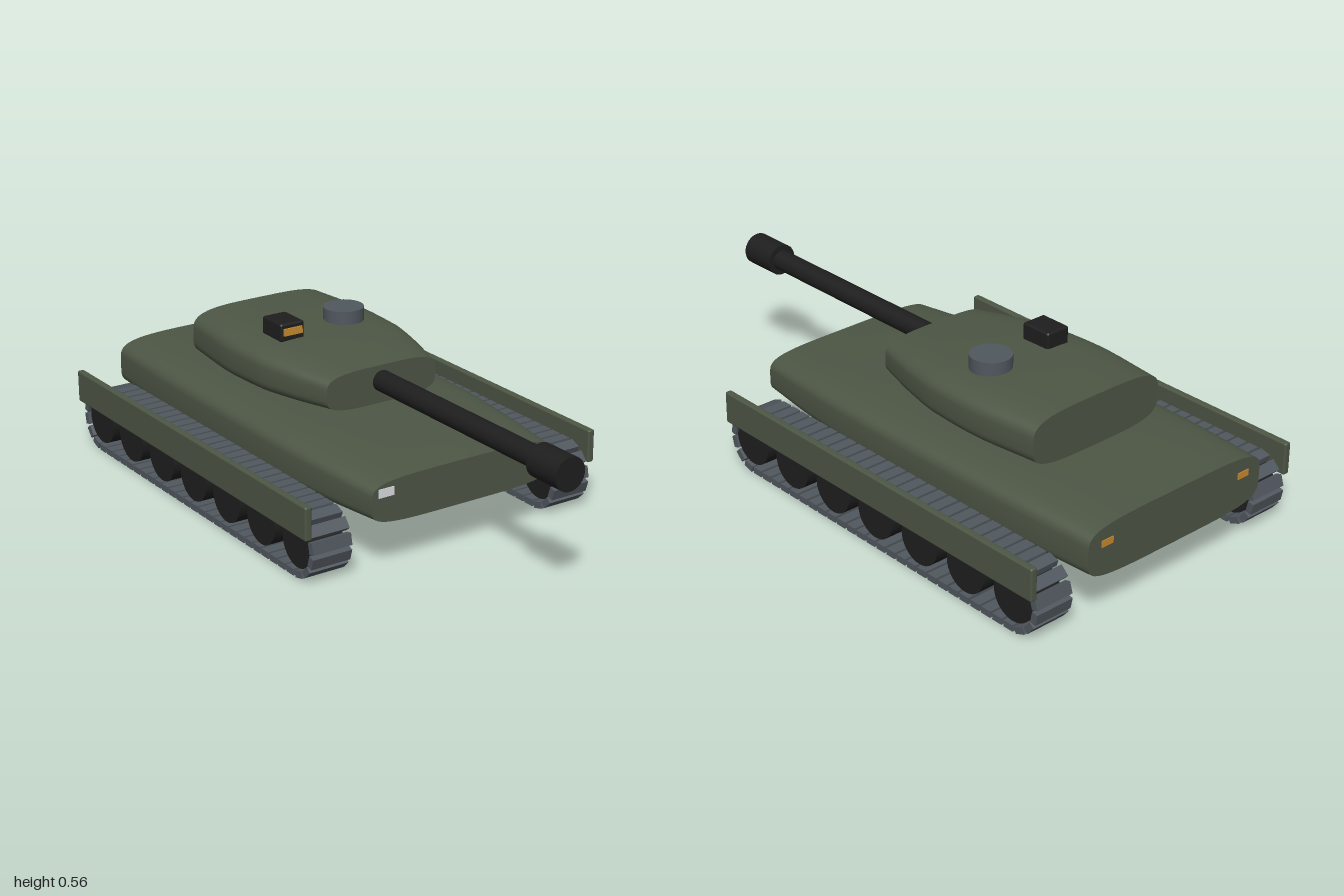
import * as THREE from 'three';
import { RoundedBoxGeometry } from 'three/addons/geometries/RoundedBoxGeometry.js';

const material = (name, color) => {
  const m = new THREE.MeshStandardMaterial({ color });
  m.name = name;
  return m;
};

// Smooth body through rounded sections [z, halfWidth, bottom, top], with flat end caps
function loft(stations, power, steps = 20, sides = 64) {
  const sizes = new THREE.CatmullRomCurve3(stations.map(([, w, b, t]) => new THREE.Vector3(w, b, t)));
  const depth = new THREE.CatmullRomCurve3(stations.map(([z]) => new THREE.Vector3(0, 0, z)));
  const pos = [], idx = [];
  const bend = (v) => Math.sign(v) * Math.pow(Math.abs(v), 2 / power);
  const addRing = (t) => {
    const s = sizes.getPoint(t), z = depth.getPoint(t).z;
    for (let j = 0; j < sides; j++) {
      const a = (j / sides) * Math.PI * 2;
      pos.push(s.x * bend(Math.cos(a)), (s.y + s.z) / 2 + ((s.z - s.y) / 2) * bend(Math.sin(a)), z);
    }
    return s;
  };
  for (let i = 0; i <= steps; i++) {
    addRing(i / steps);
    if (i === steps) break;
    for (let j = 0; j < sides; j++) {
      const a = i * sides + j, b = i * sides + ((j + 1) % sides);
      idx.push(a, a + sides, b, b, a + sides, b + sides);
    }
  }
  for (const t of [0, 1]) {
    const start = pos.length / 3;
    const s = addRing(t);
    const centre = pos.length / 3;
    pos.push(0, (s.y + s.z) / 2, depth.getPoint(t).z);
    for (let j = 0; j < sides; j++) {
      const a = start + j, b = start + ((j + 1) % sides);
      if (t === 0) idx.push(centre, a, b);
      else idx.push(centre, b, a);
    }
  }
  const g = new THREE.BufferGeometry();
  g.setAttribute('position', new THREE.Float32BufferAttribute(pos, 3));
  g.setIndex(idx);
  g.computeVertexNormals();
  return g;
}

export function createModel() {
  const green = material('olive green', 0x4d5645);
  const steel = material('track steel', 0x50575e);
  const black = material('dark metal', 0x1e1e1f);
  const amber = material('amber glass', 0xc88a2e);
  const white = material('headlight glass', 0xdadde0);

  const model = new THREE.Group();
  model.name = 'tank';
  const add = (name, geometry, mat, x = 0, y = 0, z = 0, parent = model) => {
    const mesh = new THREE.Mesh(geometry, mat);
    mesh.name = name;
    mesh.position.set(x, y, z);
    parent.add(mesh);
    return mesh;
  };

  // Hull and turret
  add('hull', loft([
    [0.5, 0.34, 0.16, 0.305], [0.3, 0.362, 0.151, 0.32], [0.05, 0.38, 0.145, 0.332],
    [-0.3, 0.385, 0.143, 0.337], [-0.7, 0.38, 0.143, 0.337], [-1, 0.364, 0.15, 0.33],
  ], 4.5), green);
  add('turret', loft([
    [0.065, 0.21, 0.353, 0.48], [-0.08, 0.252, 0.345, 0.494], [-0.23, 0.282, 0.338, 0.505],
    [-0.4, 0.288, 0.335, 0.509], [-0.665, 0.263, 0.338, 0.508],
  ], 3.8), green);

  // Gun
  const rod = (r, length) => new THREE.CylinderGeometry(r, r, length, 32).rotateX(Math.PI / 2);
  add('gunBarrel', rod(0.035, 0.86), black, 0, 0.427, 0.45);
  add('muzzle', rod(0.054, 0.135), black, 0, 0.427, 0.9325);

  // Turret roof fittings
  add('hatch', new THREE.CylinderGeometry(0.068, 0.068, 0.05, 32), steel, 0.112, 0.525, -0.318);
  add('sight', new RoundedBoxGeometry(0.09, 0.062, 0.114, 2, 0.008), black, -0.137, 0.53, -0.299);
  add('sightLens', new THREE.BoxGeometry(0.07, 0.024, 0.008), amber, -0.137, 0.533, -0.24);

  // Running gear, mirrored on each side
  const wheelGeo = new THREE.CylinderGeometry(0.08, 0.08, 0.115, 32).rotateZ(Math.PI / 2);
  const linkGeo = new THREE.BoxGeometry(0.14, 0.022, 0.038);
  const skirtGeo = new RoundedBoxGeometry(0.024, 0.11, 1.427, 2, 0.006);
  const half = 0.611, radius = 0.094, midY = 0.106, midZ = -0.25, links = 64;
  const straight = half * 2, arc = Math.PI * radius, loop = 2 * (straight + arc);

  for (const side of [1, -1]) {
    const gear = new THREE.Group();
    gear.name = side > 0 ? 'leftTrack' : 'rightTrack';
    model.add(gear);
    for (let i = 0; i < 7; i++) {
      add('roadWheel', wheelGeo, black, side * 0.462, 0.11, 0.366 - i * 0.204, gear);
    }
    for (let i = 0; i < links; i++) {
      // Walk along the top, round the front, back along the bottom, round the rear
      let d = ((i + 0.5) / links) * loop;
      const back = d >= loop / 2;
      if (back) d -= loop / 2;
      const turn = Math.max(0, d - straight) / radius;
      const sign = back ? -1 : 1;
      const z = sign * (Math.min(d, straight) - half + radius * Math.sin(turn));
      const y = sign * radius * Math.cos(turn);
      const link = add('trackLink', linkGeo, steel, side * 0.458, midY + y, midZ + z, gear);
      link.rotation.x = turn;
    }
    add('sideSkirt', skirtGeo, green, side * 0.539, 0.21, -0.2515, gear);

    // Lamps
    add('headlight', new THREE.BoxGeometry(0.056, 0.028, 0.006), white, side * 0.288, 0.266, 0.5);
    add('tailLight', new THREE.BoxGeometry(0.046, 0.022, 0.006), amber, side * 0.288, 0.267, -1);
  }
  return model;
}
